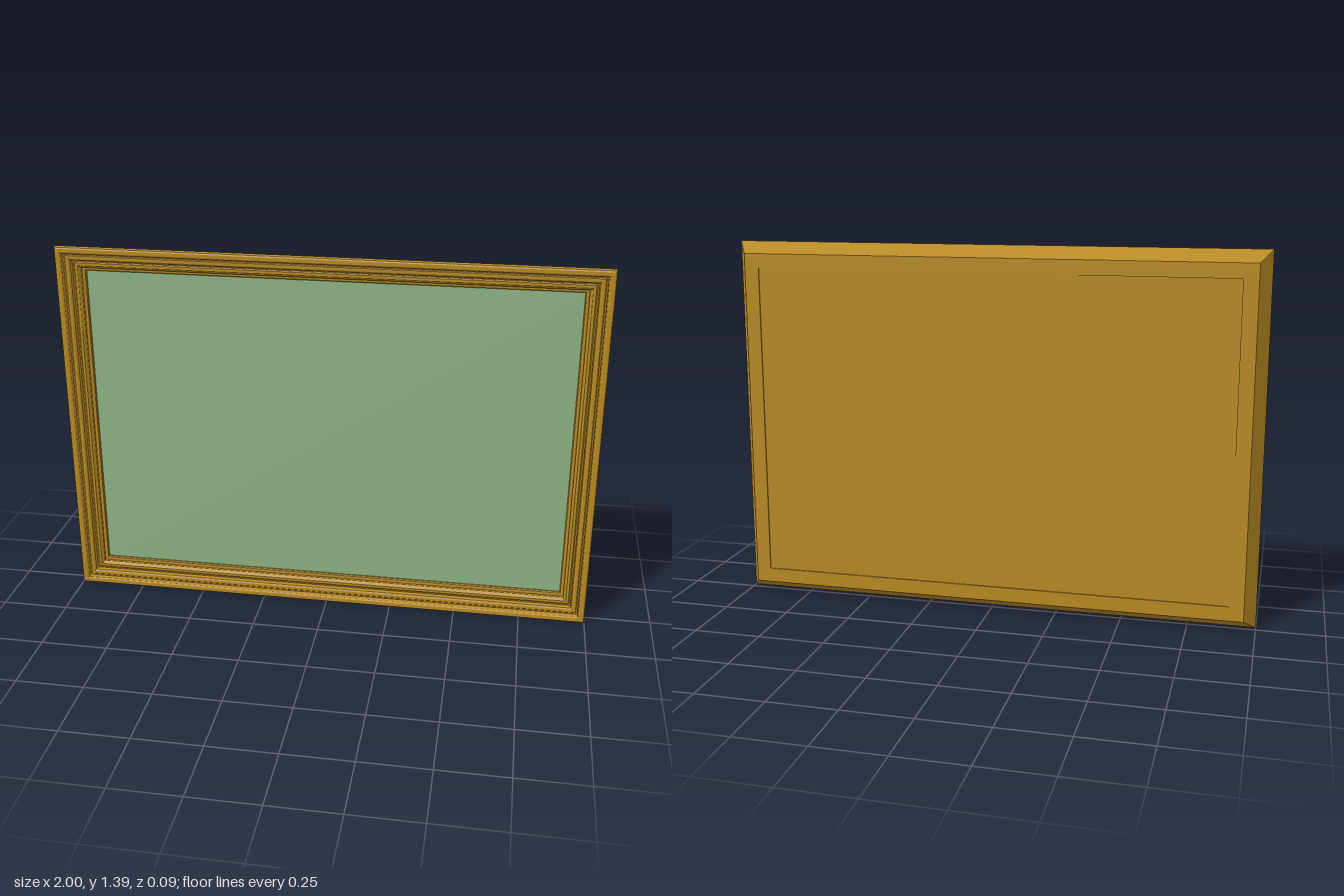
import * as THREE from 'three';
import { toCreasedNormals } from 'three/addons/utils/BufferGeometryUtils.js';

const W = 2, H = 1.39;

// Sweeps a closed [inset, z] profile around the rectangle with mitred corners.
function mitredFrame(profile) {
  const corners = [[-1, -1], [1, -1], [1, 1], [-1, 1]];
  const point = (k, i) => {
    const [sx, sy] = corners[k % 4];
    const [inset, z] = profile[i % profile.length];
    return [sx * (W / 2 - inset), H / 2 + sy * (H / 2 - inset), z];
  };
  const positions = [];
  for (let k = 0; k < 4; k++) {
    for (let i = 0; i < profile.length; i++) {
      const a = point(k, i), b = point(k + 1, i);
      const c = point(k + 1, i + 1), d = point(k, i + 1);
      positions.push(...a, ...b, ...c, ...a, ...c, ...d);
    }
  }
  const geometry = new THREE.BufferGeometry();
  geometry.setAttribute('position', new THREE.Float32BufferAttribute(positions, 3));
  return toCreasedNormals(geometry, 0.5);
}

export function createModel() {
  const model = new THREE.Group();
  model.name = 'pictureFrame';
  const wood = new THREE.MeshStandardMaterial({ color: 0xb88a24 });
  const paint = new THREE.MeshStandardMaterial({ color: 0x8fb383 });

  const add = (name, geometry, material, y = 0, z = 0) => {
    const mesh = new THREE.Mesh(geometry, material);
    mesh.name = name;
    mesh.position.set(0, y, z);
    model.add(mesh);
  };

  // Moulding: sloped outer side, rounded lip, then steps down to the picture
  const profile = [
    [0.043, -0.046], [0, 0.025], [0, 0.038], [0.002, 0.043], [0.007, 0.046],
    [0.019, 0.046], [0.024, 0.043], [0.027, 0.037], [0.027, 0.028],
    [0.032, 0.028], [0.035, 0.031], [0.046, 0.031], [0.052, 0.027], [0.055, 0.021],
    [0.055, 0.013], [0.060, 0.013], [0.064, 0.016], [0.074, 0.016],
    [0.080, 0.012], [0.084, 0.006], [0.084, -0.003], [0.089, -0.003],
    [0.095, -0.005], [0.098, -0.009], [0.098, -0.046],
  ];
  add('frameMoulding', mitredFrame(profile), wood);

  // Picture and slightly recessed backing board, filling the opening
  const w = W - 0.196, h = H - 0.196;
  add('picture', new THREE.BoxGeometry(w, h, 0.006), paint, H / 2, -0.018);
  add('backingBoard', new THREE.BoxGeometry(w, h, 0.02), wood, H / 2, -0.031);

  return model;
}
